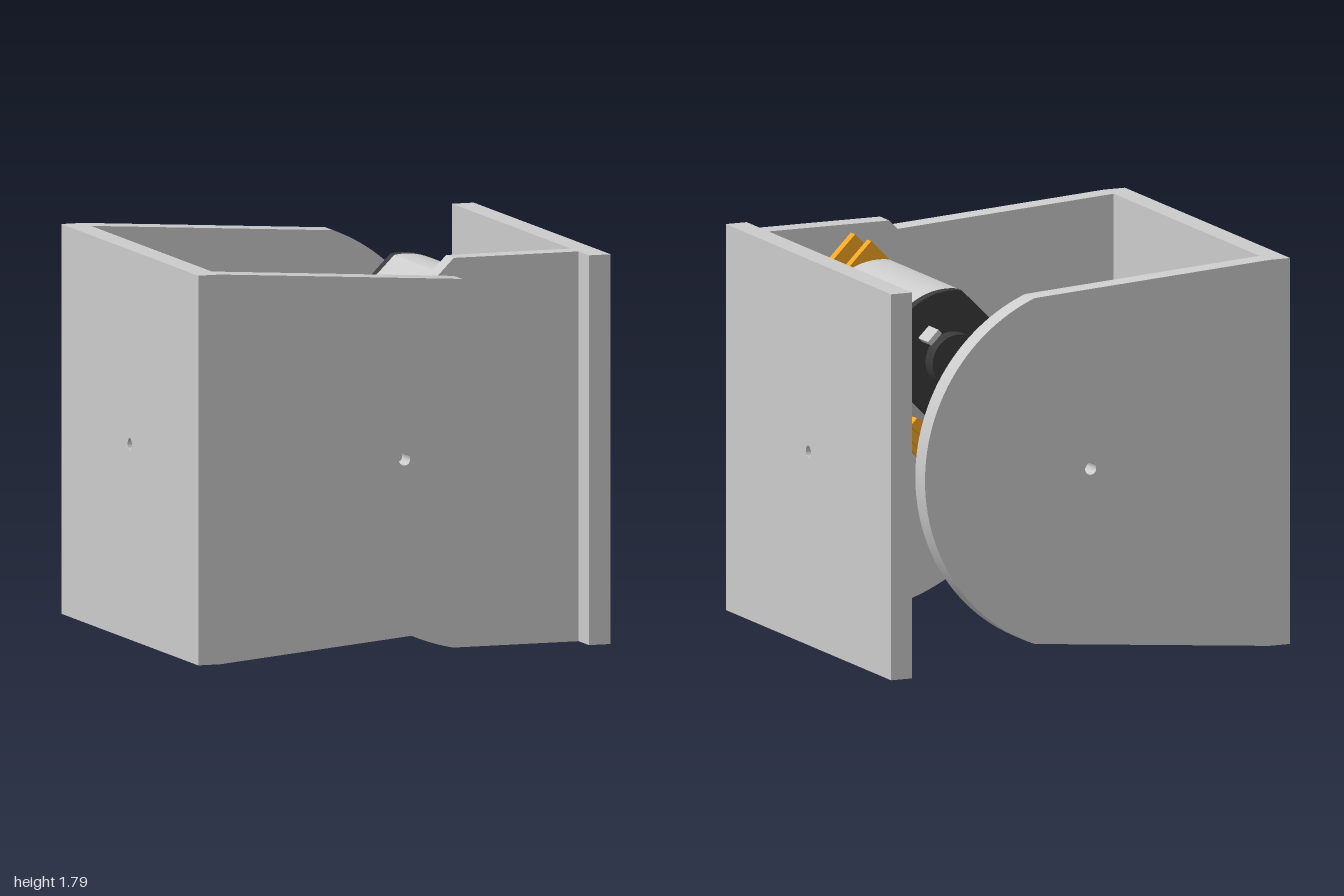
import * as THREE from 'three';
import { toCreasedNormals } from 'three/addons/utils/BufferGeometryUtils.js';

const grey = new THREE.MeshStandardMaterial({ color: 0xcccccc });
const orange = new THREE.MeshStandardMaterial({ color: 0xf5a623 });
const black = new THREE.MeshStandardMaterial({ color: 0x3a3a3a });

const H = 1.79, MID = 0.897, HALF = 0.895, HOLE = 0.028;

function add(parent, name, geometry, material) {
  const mesh = new THREE.Mesh(geometry, material);
  mesh.name = name;
  parent.add(mesh);
  return mesh;
}

// Flat outline extruded between two z values
function slab(shape, z0, z1) {
  const geo = new THREE.ExtrudeGeometry(shape, { depth: z1 - z0, bevelEnabled: false, curveSegments: 48 });
  geo.translate(0, 0, z0);
  return toCreasedNormals(geo, 0.35);
}

function drill(shape, x, y) {
  shape.holes.push(new THREE.Path().absarc(x, y, HOLE, 0, Math.PI * 2, true));
  return shape;
}

function rect(x0, y0, x1, y1) {
  const s = new THREE.Shape();
  s.moveTo(x0, y0).lineTo(x1, y0).lineTo(x1, y1).lineTo(x0, y1).closePath();
  return s;
}

// Cylinder along z
function rod(u, v, r, z0, z1) {
  const geo = new THREE.CylinderGeometry(r, r, z1 - z0, 32);
  geo.rotateX(Math.PI / 2);
  geo.translate(u, v, (z0 + z1) / 2);
  return geo;
}

// Circle with two parallel flats, facing +y and -y
function doubleD(r, flat) {
  const a = Math.asin(flat / r);
  const s = new THREE.Shape();
  s.absarc(0, 0, r, -a, a, false);
  s.absarc(0, 0, r, Math.PI - a, Math.PI + a, false);
  s.closePath();
  return s;
}

// Square wall standing across x, with a central hole
function wall(x0, x1) {
  const geo = slab(drill(rect(-HALF, 0, HALF, H), 0, MID), x0, x1);
  return geo.rotateY(Math.PI / 2);
}

export function createModel() {
  const model = new THREE.Group();
  model.name = 'motorizedHinge';

  // Outer U bracket
  const outer = new THREE.Group();
  outer.name = 'outerBracket';
  model.add(outer);
  add(outer, 'outerWall', wall(-1, -0.895), grey);
  const cheek = new THREE.Shape();
  cheek.moveTo(-0.895, H).lineTo(-0.895, 0);
  cheek.absarc(-0.03, 0.91, 0.86, -1.202, 1.202, false);
  cheek.closePath();
  drill(cheek, 0, MID);
  add(outer, 'backCheek', slab(cheek, -0.895, -0.79), grey);
  add(outer, 'frontCheek', slab(cheek, 0.79, 0.895), grey);

  // Inner L bracket that carries the gearbox
  const inner = new THREE.Group();
  inner.name = 'innerBracket';
  model.add(inner);
  add(inner, 'innerWall', wall(0.895, 1), grey);
  const arm = new THREE.Shape();
  arm.moveTo(0.895, H).lineTo(0.29, H);
  arm.absarc(0.47, 0.93, 0.947, THREE.MathUtils.degToRad(174.1), THREE.MathUtils.degToRad(259), false);
  arm.lineTo(0.895, 0).closePath();
  drill(arm, 0, MID);
  add(inner, 'innerArm', slab(arm, 0.658, 0.758), grey);

  // Gear motor, tilted 45 degrees around the hinge axis
  const drive = new THREE.Group();
  drive.name = 'gearMotor';
  drive.position.set(0, MID, 0);
  drive.rotation.z = Math.PI / 4;
  model.add(drive);

  // Gearbox plates
  for (const [name, end, z0, z1] of [
    ['frontGearPlate', 0.945, 0.612, 0.658],
    ['middleGearPlate', 0.945, 0.438, 0.48],
    ['backGearPlate', 0.325, 0.155, 0.2],
  ]) add(drive, name, slab(rect(-0.315, -0.262, end, 0.262), z0, z1), orange);

  // Spacer posts
  for (const [u, v, z0] of [
    [-0.13, -0.18, 0.2], [0.23, 0.18, 0.2], [0.44, 0.18, 0.48], [0.815, -0.18, 0.48],
  ]) add(drive, 'spacerPost', rod(u, v, 0.078, z0, 0.612), orange);

  // Output hub, collar and flatted shaft
  add(drive, 'outputHub', rod(0, 0, 0.113, 0.2, 0.612), orange);
  add(drive, 'shaftCollar', rod(0, 0, 0.102, 0.11, 0.155), orange);
  const shaft = slab(doubleD(0.107, 0.05), -0.79, 0.11);
  add(drive, 'outputShaft', shaft.rotateZ(Math.PI / 2), grey);

  // Motor can, end cap, bearing boss and terminals
  const motor = new THREE.Group();
  motor.name = 'motor';
  motor.position.x = 0.63;
  drive.add(motor);
  const can = doubleD(0.32, 0.26);
  add(motor, 'motorCan', slab(can, -0.3, 0.438), grey);
  add(motor, 'motorEndCap', slab(can, -0.35, -0.3), black);
  add(motor, 'bearingBoss', rod(0, 0, 0.13, -0.428, -0.35), black);
  for (const side of [-1, 1]) {
    const tab = add(motor, 'terminal', new THREE.BoxGeometry(0.025, 0.075, 0.105), grey);
    tab.position.set(side * 0.185, 0, -0.4025);
  }

  return model;
}
